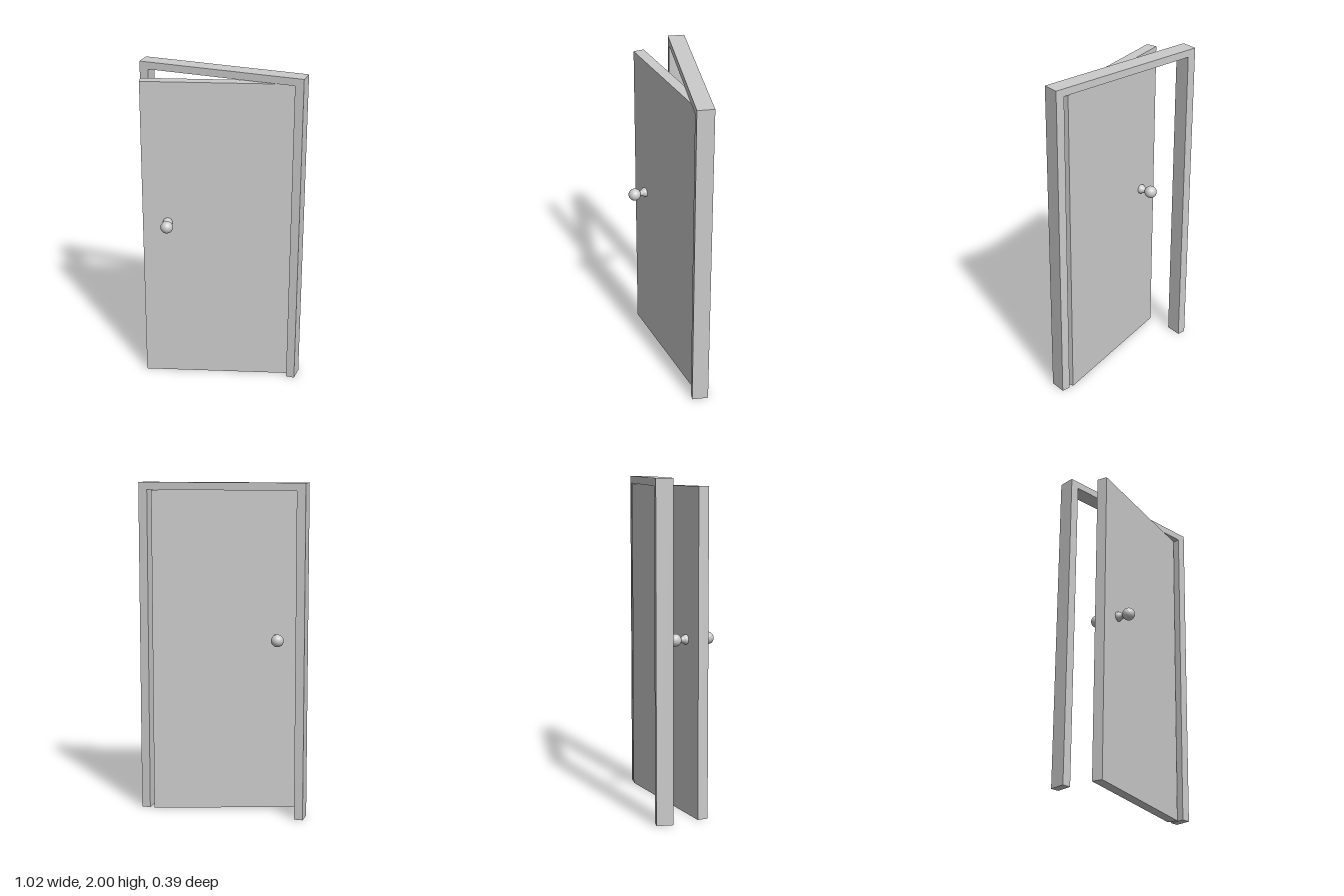
import * as THREE from 'three';

const material = new THREE.MeshStandardMaterial({ color: 0xcccccc });

function addMesh(parent, name, geometry) {
  const mesh = new THREE.Mesh(geometry, material);
  mesh.name = name;
  parent.add(mesh);
  return mesh;
}

export function createModel() {
  const model = new THREE.Group();
  model.name = 'door';

  // Door frame: two jambs and a head in one piece, open at the floor
  const outer = 0.51, inner = 0.457, top = 2, head = 1.955;
  const outline = new THREE.Shape([
    [-outer, 0], [-inner, 0], [-inner, head], [inner, head],
    [inner, 0], [outer, 0], [outer, top], [-outer, top],
  ].map(([x, y]) => new THREE.Vector2(x, y)));
  const frame = addMesh(model, 'doorFrame',
    new THREE.ExtrudeGeometry(outline, { depth: 0.1, bevelEnabled: false }));
  frame.position.z = -0.193;

  // Door leaf, hinged at its left edge and standing ajar
  const width = 0.905, height = 1.952, thickness = 0.065;
  const leaf = new THREE.Group();
  leaf.name = 'doorLeaf';
  leaf.position.set(0.439, 0, -0.162);
  leaf.rotation.y = 0.29;
  model.add(leaf);
  const panel = addMesh(leaf, 'doorPanel', new THREE.BoxGeometry(width, height, thickness));
  panel.position.set(-width / 2, height / 2, 0);

  // Round knob on a flared neck, one on each face
  const neckProfile = [
    [0.029, 0.03], [0.029, 0.043], [0.024, 0.051], [0.018, 0.062], [0.015, 0.07], [0.015, 0.085],
  ].map(([r, h]) => new THREE.Vector2(r, h));
  for (const [side, name] of [[1, 'frontKnob'], [-1, 'backKnob']]) {
    const knob = new THREE.Group();
    knob.name = name;
    knob.position.set(-width / 2 - 0.3, 1.057, 0);
    knob.rotation.x = side * Math.PI / 2;
    leaf.add(knob);
    addMesh(knob, 'knobNeck', new THREE.LatheGeometry(neckProfile, 32));
    addMesh(knob, 'knobBall', new THREE.SphereGeometry(0.038, 32, 20)).position.y = 0.107;
  }

  return model;
}
